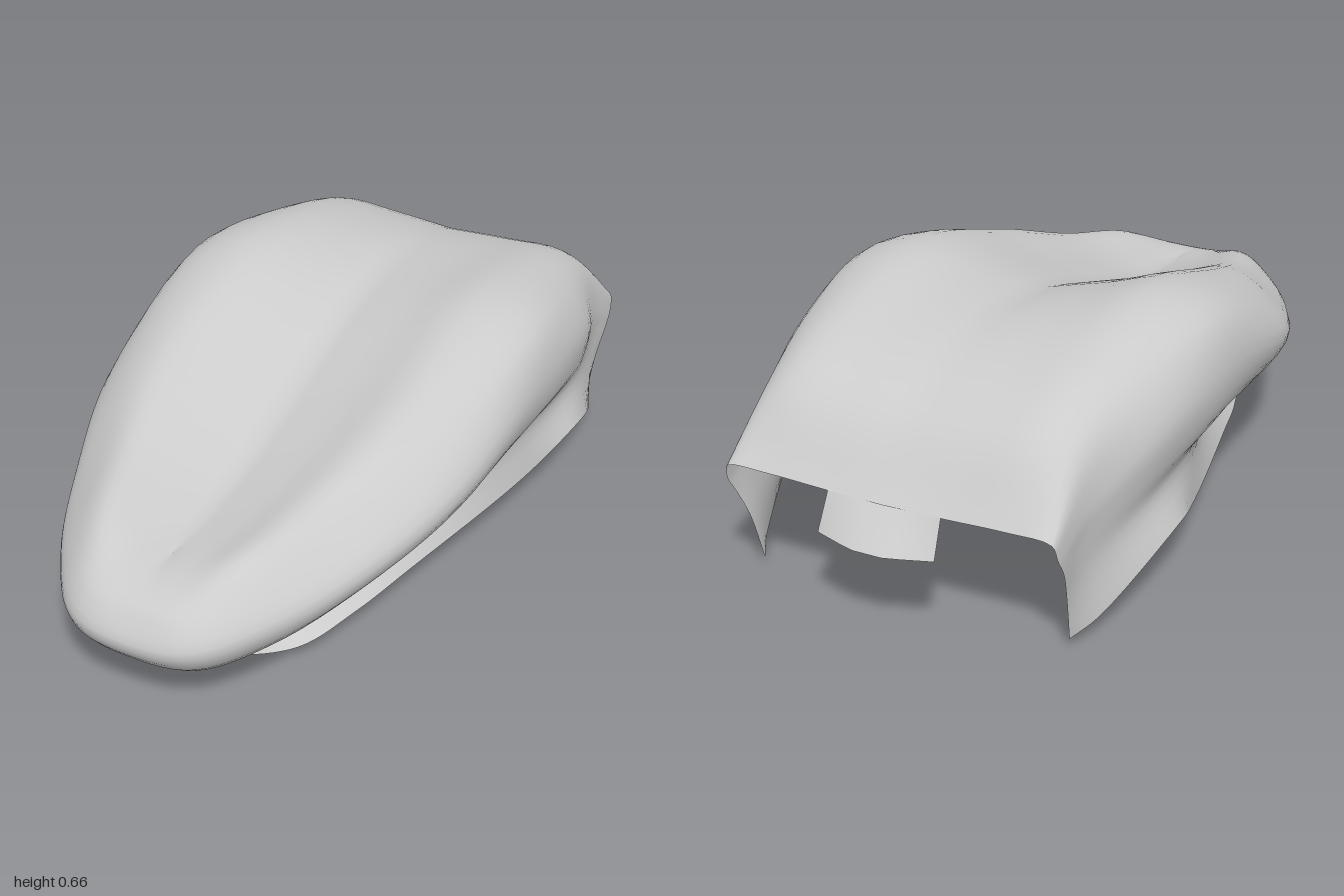
import * as THREE from 'three';
import { mergeVertices } from 'three/addons/utils/BufferGeometryUtils.js';

const material = new THREE.MeshStandardMaterial({ color: 0xcccccc, side: THREE.DoubleSide });

// A U-shaped rail: left half from the back to the nose, then mirrored to the back again.
function rail(...points) {
  const half = points.map((p) => new THREE.Vector3(...p));
  const other = half.slice(0, -1).reverse().map((p) => new THREE.Vector3(-p.x, p.y, p.z));
  return new THREE.CatmullRomCurve3([...half, ...other], false, 'centripetal');
}

// Smooth surface through a grid of rows of equal length.
function skin(rows) {
  const n = rows[0].length;
  const index = [];
  for (let i = 0; i < rows.length - 1; i++) {
    for (let j = 0; j < n - 1; j++) {
      const a = i * n + j, b = a + n;
      index.push(a, b, a + 1, b, b + 1, a + 1);
    }
  }
  let geometry = new THREE.BufferGeometry().setFromPoints(rows.flat());
  geometry.setIndex(index);
  geometry = mergeVertices(geometry, 1e-4);
  geometry.computeVertexNormals();
  return geometry;
}

// Rails from the centre groove outwards, over the bulge and under to the flared skirt.
const groove = rail([0, 0.33, -0.925], [0, 0.505, -0.76], [0, 0.592, -0.5], [0, 0.575, -0.16],
  [0, 0.45, 0.25], [0, 0.375, 0.5], [0, 0.35, 0.66], [0, 0.344, 0.72], [0, 0.34, 0.75]);
const slope = rail([0.16, 0.33, -0.92], [0.18, 0.51, -0.77], [0.18, 0.605, -0.5], [0.17, 0.615, -0.16],
  [0.17, 0.495, 0.26], [0.14, 0.41, 0.53], [0.1, 0.366, 0.74], [0.05, 0.344, 0.83], [0, 0.335, 0.85]);
const crest = rail([0.32, 0.335, -0.92], [0.34, 0.512, -0.77], [0.35, 0.615, -0.5], [0.34, 0.655, -0.16],
  [0.33, 0.54, 0.27], [0.26, 0.44, 0.56], [0.19, 0.385, 0.78], [0.1, 0.322, 0.91], [0, 0.31, 0.93]);
const shoulder = rail([0.43, 0.33, -0.92], [0.42, 0.47, -0.76], [0.46, 0.56, -0.5], [0.5, 0.6, -0.16],
  [0.46, 0.48, 0.27], [0.36, 0.385, 0.56], [0.26, 0.33, 0.8], [0.14, 0.29, 0.945], [0, 0.28, 0.965]);
const bulge = rail([0.44, 0.29, -0.91], [0.45, 0.36, -0.75], [0.52, 0.45, -0.5], [0.547, 0.48, -0.16],
  [0.525, 0.38, 0.27], [0.425, 0.3, 0.57], [0.305, 0.25, 0.81], [0.165, 0.217, 0.97], [0, 0.21, 1]);
const lip = rail([0.44, 0.24, -0.88], [0.445, 0.28, -0.77], [0.51, 0.34, -0.5], [0.53, 0.36, -0.16],
  [0.46, 0.27, 0.27], [0.37, 0.21, 0.55], [0.26, 0.16, 0.77], [0.14, 0.127, 0.89], [0, 0.122, 0.91]);
const neck = rail([0.43, 0.16, -0.845], [0.445, 0.19, -0.75], [0.49, 0.26, -0.48], [0.46, 0.265, -0.16],
  [0.3, 0.215, 0.25], [0.21, 0.185, 0.43], [0.11, 0.155, 0.58], [0.05, 0.132, 0.65], [0, 0.122, 0.67]);
const skirt = rail([0.42, 0.025, -0.81], [0.46, 0.055, -0.735], [0.53, 0.168, -0.45], [0.48, 0.117, -0.22],
  [0.37, 0.077, 0.25], [0.32, 0.06, 0.45], [0.25, 0.04, 0.62], [0.1, 0.008, 0.69], [0, 0, 0.7]);

export function createModel() {
  const group = new THREE.Group();
  const add = (name, geometry) => {
    const mesh = new THREE.Mesh(geometry, material);
    mesh.name = name;
    group.add(mesh);
  };

  // Shell: a cross-section spline through the rails at each step around the U.
  const rails = [groove, slope, crest, shoulder, bulge, lip, neck, skirt];
  const steps = 96;
  const rows = [];
  for (let i = 0; i <= steps; i++) {
    const section = rails.map((r) => r.getPoint(i / steps));
    rows.push(new THREE.CatmullRomCurve3(section, false, 'centripetal').getPoints(28));
  }
  add('shell', skin(rows));

  // Tab continuing the slope past the middle of the rear edge.
  const tab = [];
  for (let i = 0; i <= 8; i++) {
    const k = i / 4 - 1;
    const end = -0.962 - 0.038 * Math.min(1, 1.4 * (1 - Math.abs(k)));
    tab.push([
      new THREE.Vector3(0.15 * k, 0.332, -0.918),
      new THREE.Vector3(0.155 * k, 0.24, end),
    ]);
  }
  add('rearTab', skin(tab));
  return group;
}
